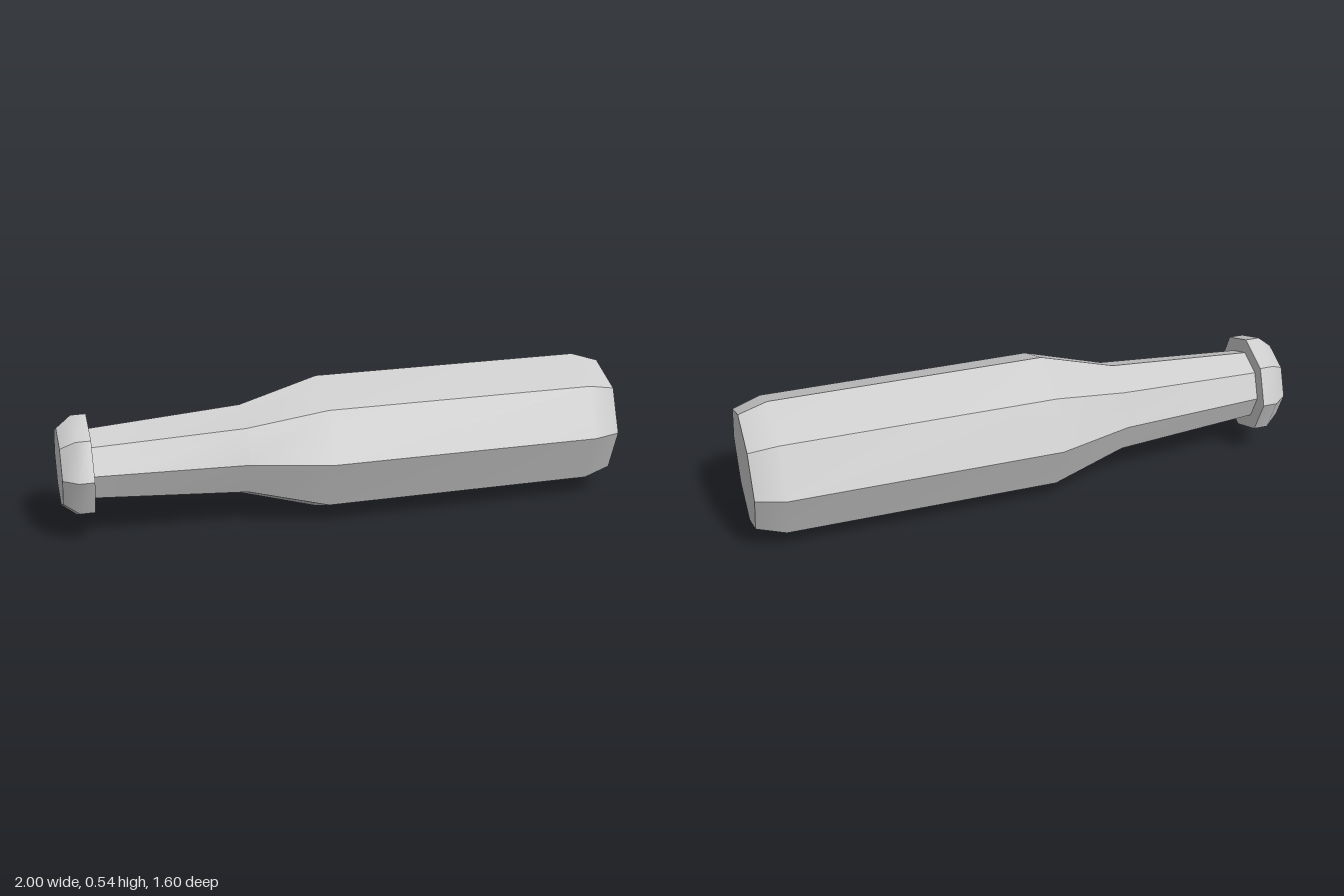
import * as THREE from 'three';
import { mergeGeometries } from 'three/addons/utils/BufferGeometryUtils.js';

const SIDES = 8;
const material = new THREE.MeshStandardMaterial({ color: 0xcccccc });

// Turned solid with sharp lengthwise edges; each profile [radius, height] is smooth along its length.
function facetedTurning(name, profiles) {
  const strips = [];
  const step = (Math.PI * 2) / SIDES;
  for (const profile of profiles) {
    const points = profile.map(([r, y]) => new THREE.Vector2(r, y));
    for (let i = 0; i < SIDES; i++) {
      const strip = new THREE.LatheGeometry(points, 1, i * step, step);
      strip.computeVertexNormals();
      strips.push(strip);
    }
  }
  const mesh = new THREE.Mesh(mergeGeometries(strips), material);
  mesh.name = name;
  return mesh;
}

export function createModel() {
  const model = new THREE.Group();
  model.name = 'bottle';

  // Bottle standing on its local y axis, base at 0
  const bottle = new THREE.Group();
  bottle.name = 'lyingBottle';

  // Flat base, then chamfer, body, shoulder and neck
  bottle.add(facetedTurning('body', [
    [[0, 0], [0.236, 0]],
    [[0.236, 0], [0.272, 0.112], [0.272, 1.183], [0.182, 1.486], [0.141, 2.068]],
  ]));

  // Cap: underside, chamfered rim, flat top
  bottle.add(facetedTurning('cap', [
    [[0, 2.068], [0.2, 2.068]],
    [[0.2, 2.068], [0.2, 2.125], [0.154, 2.181]],
    [[0.154, 2.181], [0, 2.181]],
  ]));

  // Lay it down on one edge, neck toward the front right
  bottle.rotation.set(Math.PI / 2, -0.946, 0, 'YXZ');
  bottle.position.set(0.86, 0.272, -0.61);
  model.add(bottle);
  return model;
}
